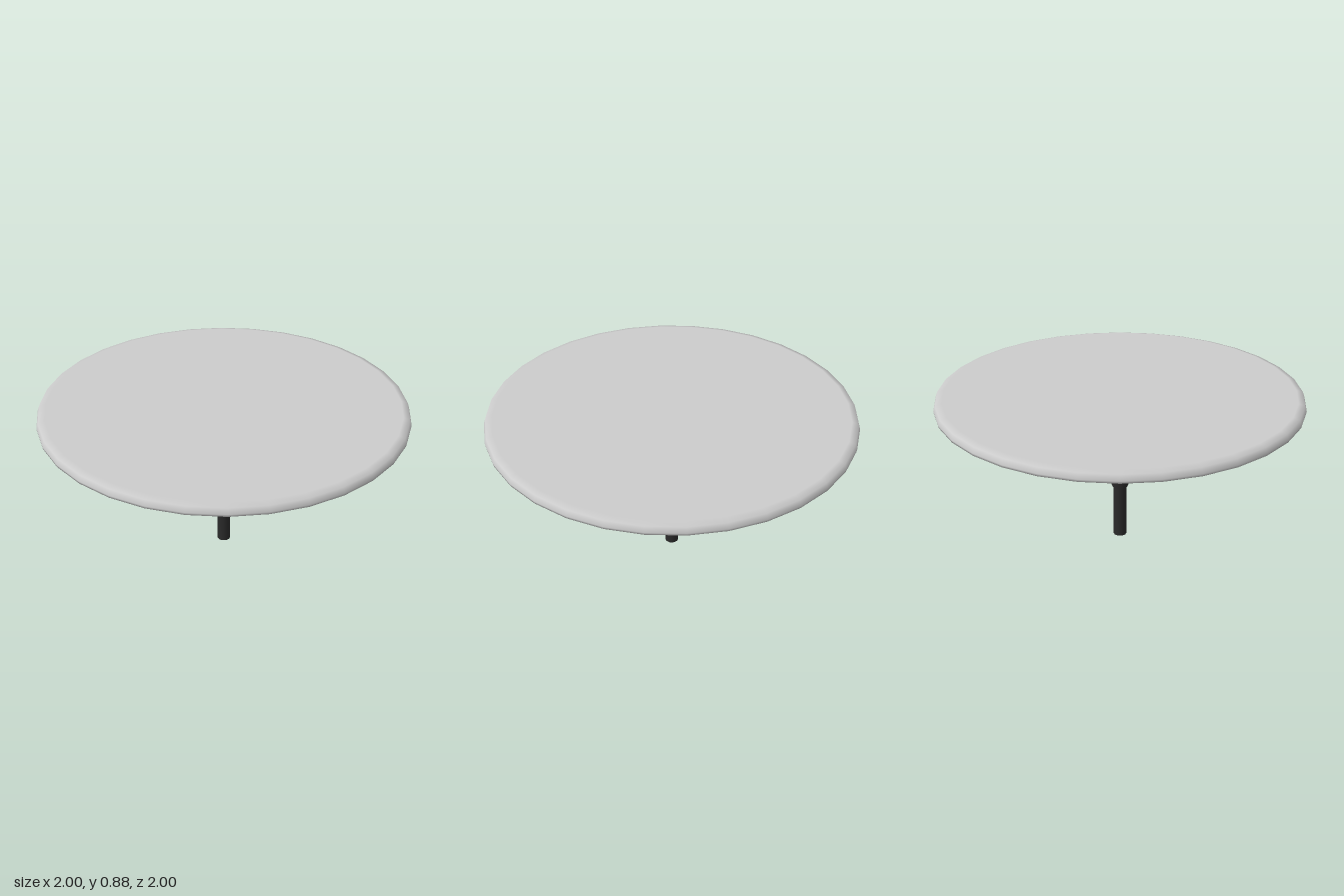
import * as THREE from 'three';

// Turn a list of [radius, height] pairs (bottom to top) around the y axis
function turned(name, profile, sides, color) {
  const points = profile.map(([r, y]) => new THREE.Vector2(r, y));
  const mesh = new THREE.Mesh(
    new THREE.LatheGeometry(points, sides),
    new THREE.MeshStandardMaterial({ color, side: THREE.DoubleSide })
  );
  mesh.name = name;
  return mesh;
}

export function createModel() {
  const model = new THREE.Group();
  model.name = 'roundTable';

  // Round top with a softened rim, running into the shallow bowl below it
  model.add(turned('tabletopAndBowl', [
    [0, 0.692], [0.325, 0.692], [0.415, 0.733], [0.453, 0.82], [0.453, 0.832],
    [0.998, 0.832], [1, 0.845], [0.99, 0.875], [0.955, 0.885], [0, 0.885],
  ], 32, 0xcccccc));

  // Dark post: wide sleeve above, tapering to a thinner rod
  model.add(turned('post', [
    [0.037, 0], [0.037, 0.295], [0.055, 0.333], [0.055, 0.7],
  ], 16, 0x2a2a2a));

  // Flat foot closing the rod
  const foot = turned('postFoot', [[0, 0], [0.037, 0]], 16, 0x2a2a2a);
  model.add(foot);

  return model;
}
